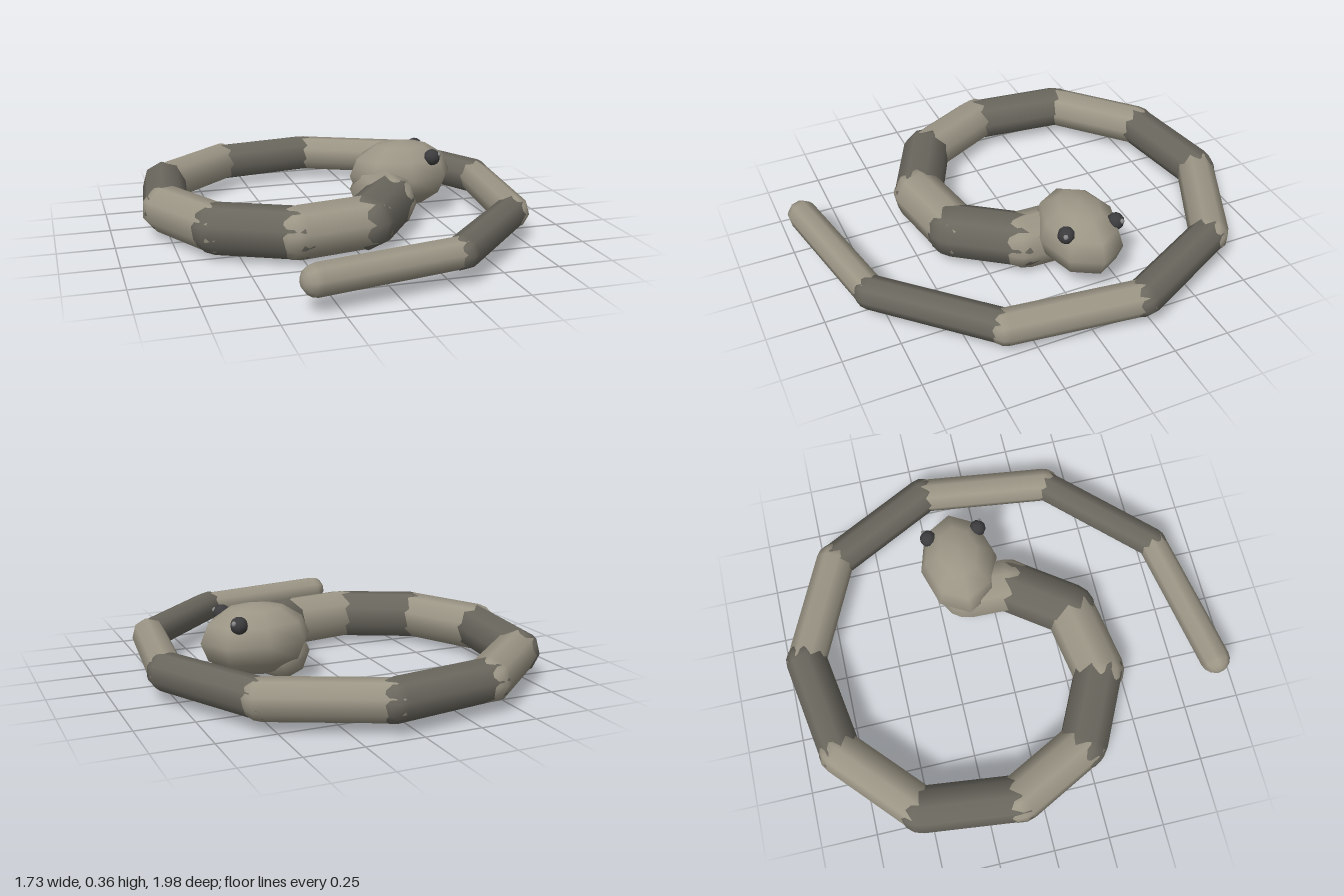
import * as THREE from 'three';

const light = new THREE.MeshStandardMaterial({ name: 'lightScales', color: 0x9c9686 });
const dark = new THREE.MeshStandardMaterial({ name: 'darkScales', color: 0x6a675e });
const eyeMat = new THREE.MeshStandardMaterial({ name: 'eyeDark', color: 0x3c3c3e });
const glintMat = new THREE.MeshStandardMaterial({ name: 'eyeGlint', color: 0x8c8c8c });

const bodyY = 0.14;

// Joints of the coil (x, z), from tail tip to neck
const joints = [
  [-0.34, 0.92], [0.29, 0.80], [0.71, 0.37], [0.785, -0.215], [0.54, -0.69],
  [0.08, -0.905], [-0.38, -0.83], [-0.71, -0.53], [-0.76, -0.10], [-0.59, 0.23],
  [-0.27, 0.385], [0.05, 0.33], [0.235, 0.075], [0.24, -0.11],
].map(([x, z]) => new THREE.Vector3(x, bodyY, z));

function addMesh(parent, name, geometry, material, x, y, z) {
  const mesh = new THREE.Mesh(geometry, material);
  mesh.name = name;
  mesh.position.set(x, y, z);
  parent.add(mesh);
  return mesh;
}

// Capsule lying between two joints
function addSegment(parent, name, a, b, radius, material) {
  const dir = b.clone().sub(a);
  const mid = a.clone().add(b).multiplyScalar(0.5);
  const geometry = new THREE.CapsuleGeometry(radius, dir.length(), 4, 8);
  const mesh = addMesh(parent, name, geometry, material, mid.x, mid.y, mid.z);
  mesh.quaternion.setFromUnitVectors(new THREE.Vector3(0, 1, 0), dir.normalize());
}

export function createModel() {
  const model = new THREE.Group();
  model.name = 'coiledSnake';

  // Body segments, thickening toward the head in alternating colours
  const body = new THREE.Group();
  body.name = 'body';
  model.add(body);
  const last = joints.length - 2;
  for (let i = 0; i <= last; i++) {
    const name = i === 0 ? 'tail' : i === last ? 'neck' : 'bodySegment' + i;
    addSegment(body, name, joints[i], joints[i + 1], 0.068 + 0.005 * i, i % 2 ? dark : light);
  }

  // Head, facing +x
  const head = new THREE.Group();
  head.name = 'head';
  head.position.set(0.36, 0.215, -0.125);
  model.add(head);
  const skull = new THREE.SphereGeometry(1, 8, 6).scale(0.25, 0.16, 0.18);
  addMesh(head, 'skull', skull, light, 0, 0, 0);

  // Eyes with a small glint
  for (const side of [-1, 1]) {
    addMesh(head, 'eye', new THREE.SphereGeometry(0.038, 10, 8), eyeMat, 0.115, 0.095, side * 0.117);
    addMesh(head, 'eyeGlint', new THREE.SphereGeometry(0.012, 6, 5), glintMat, 0.142, 0.108, side * 0.132);
  }
  return model;
}
